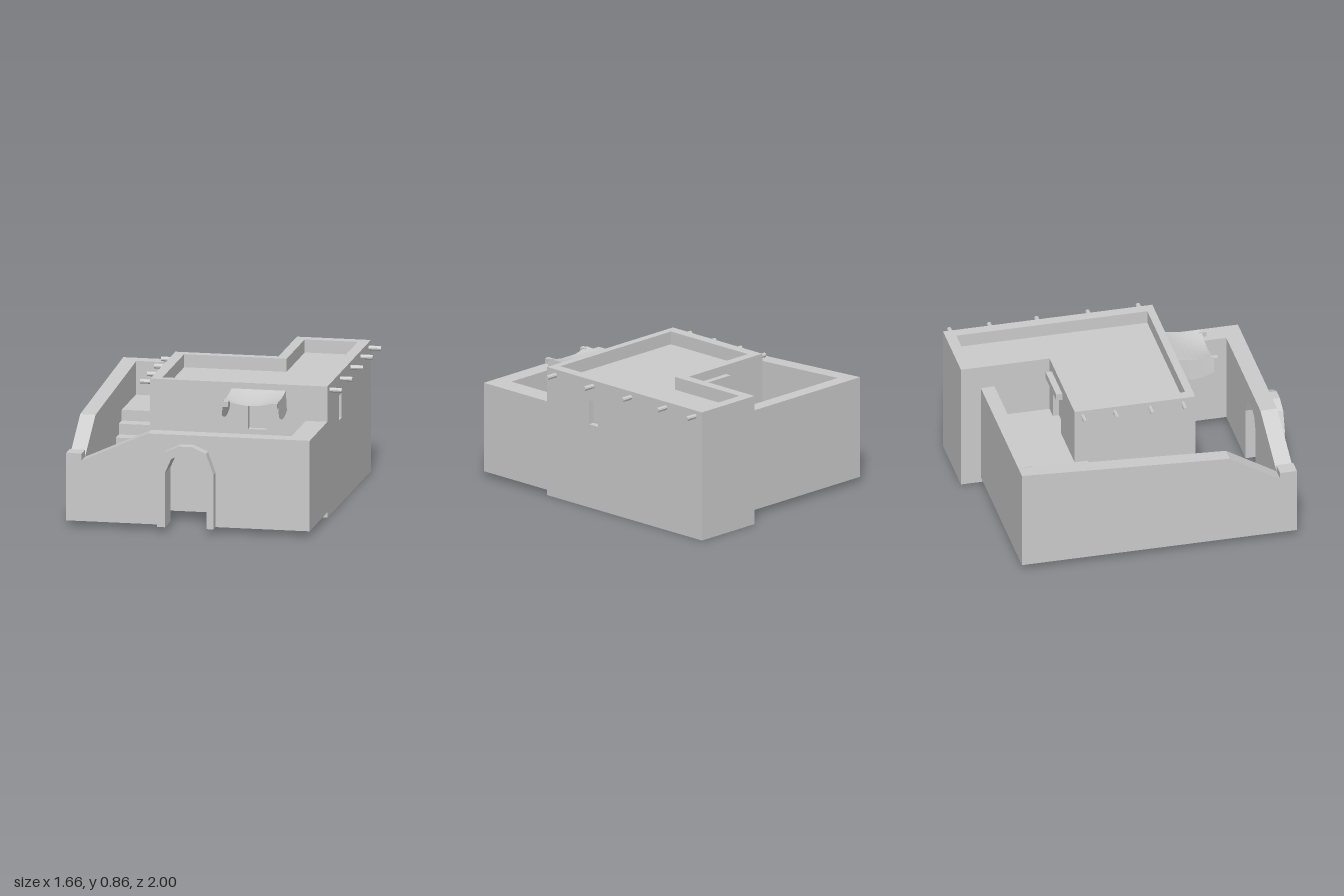
import * as THREE from 'three';

const GREY = { color: 0xcccccc };
const solid = new THREE.MeshStandardMaterial({ ...GREY, flatShading: true });
const thin = new THREE.MeshStandardMaterial({ ...GREY, flatShading: true, side: THREE.DoubleSide });
const inside = new THREE.MeshStandardMaterial({ ...GREY, side: THREE.BackSide });

const TOP = 0.855, ROOF = 0.77, BASE = 0.035, LANDING = 0.48;
const vec = (pts) => pts.map(([x, y]) => new THREE.Vector2(x, y));
const shapeOf = (pts) => new THREE.Shape(vec(pts));
const extrude = (shape, depth) => new THREE.ExtrudeGeometry(shape, { depth, bevelEnabled: false });

function add(parent, name, geometry, material = solid) {
  const mesh = new THREE.Mesh(geometry, material);
  mesh.name = name;
  parent.add(mesh);
  return mesh;
}

// box given by its minimum and maximum along each axis
function block(parent, name, [x0, x1], [y0, y1], [z0, z1]) {
  const mesh = add(parent, name, new THREE.BoxGeometry(x1 - x0, y1 - y0, z1 - z0));
  mesh.position.set((x0 + x1) / 2, (y0 + y1) / 2, (z0 + z1) / 2);
  return mesh;
}

// thin upright wall from a to b (x, z), with recessed openings [u0, u1, y0, y1]
function houseWall(parent, a, b, openings = []) {
  const dx = b[0] - a[0], dz = b[1] - a[1], length = Math.hypot(dx, dz), depth = 0.04;
  const wall = new THREE.Group();
  wall.name = 'houseWall';
  wall.position.set(a[0], 0, a[1]);
  wall.rotation.y = Math.atan2(-dz, dx);
  const shape = shapeOf([[0, 0], [length, 0], [length, ROOF], [0, ROOF]]);
  for (const [u0, u1, y0, y1] of openings) {
    shape.holes.push(new THREE.Path(vec([[u0, y0], [u0, y1], [u1, y1], [u1, y0]])));
    const recess = add(wall, 'recess', new THREE.BoxGeometry(u1 - u0, y1 - y0, depth), inside);
    recess.position.set((u0 + u1) / 2, (y0 + y1) / 2, -depth / 2);
  }
  add(wall, 'wallFace', new THREE.ShapeGeometry(shape), thin);
  parent.add(wall);
}

// grid surface from a function of (i, j)
function sheet(nu, nv, point) {
  const pos = [], index = [];
  for (let j = 0; j <= nv; j++) for (let i = 0; i <= nu; i++) pos.push(...point(i, j));
  for (let j = 0; j < nv; j++) for (let i = 0; i < nu; i++) {
    const a = j * (nu + 1) + i, b = a + 1, c = a + nu + 1, d = c + 1;
    index.push(a, c, b, b, c, d);
  }
  const g = new THREE.BufferGeometry();
  g.setAttribute('position', new THREE.Float32BufferAttribute(pos, 3));
  g.setIndex(index);
  g.computeVertexNormals();
  return g;
}

function buildHouse() {
  const house = new THREE.Group();
  house.name = 'house';
  const outer = [[-0.4, 0.37], [0.75, 0.37], [0.75, -1], [0.27, -1], [0.27, -0.42], [-0.4, -0.42]];
  const inner = [[-0.33, 0.32], [0.68, 0.32], [0.68, -0.93], [0.335, -0.93], [0.335, -0.36], [-0.33, -0.36]];
  const flip = (pts) => pts.map(([x, z]) => [x, -z]);

  // walls; openings are front window, side window and back door
  const openings = {
    0: [[0.635, 0.755, 0.555, 0.715]],
    1: [[0.37, 0.45, 0.555, 0.715]],
    4: [[0.09, 0.31, LANDING, 0.75]],
  };
  outer.forEach((p, i) => houseWall(house, p, outer[(i + 1) % outer.length], openings[i]));

  // flat roof with raised parapet
  const ring = shapeOf(flip(outer));
  ring.holes.push(new THREE.Path(vec(flip(inner))));
  add(house, 'parapet', extrude(ring, TOP - ROOF).rotateX(-Math.PI / 2).translate(0, ROOF, 0));
  add(house, 'roof', new THREE.ShapeGeometry(shapeOf(flip(outer))).rotateX(-Math.PI / 2).translate(0, ROOF, 0), thin);
  block(house, 'doorLintel', [-0.07, 0.21], [0.75, 0.795], [-0.46, -0.42]);

  // projecting roof poles
  const poles = [[-0.44, [-0.365, -0.155, 0.075, 0.29]], [0.79, [-0.94, -0.68, -0.37, -0.035, 0.295]]];
  for (const [x, zs] of poles) for (const z of zs) {
    const pole = add(house, 'roofPole', new THREE.CylinderGeometry(0.015, 0.015, 0.08, 10));
    pole.rotation.z = Math.PI / 2;
    pole.position.set(x, 0.817, z);
  }
  return house;
}

function buildYard() {
  const yard = new THREE.Group();
  yard.name = 'yard';
  const archOuter = [[-0.225, BASE], [-0.225, 0.39], [-0.175, 0.525], [-0.085, 0.565], [0, 0.565], [0.09, 0.525], [0.14, 0.39], [0.14, BASE]];
  const archInner = [[-0.175, BASE], [-0.175, 0.39], [-0.135, 0.48], [-0.08, 0.51], [0, 0.51], [0.055, 0.48], [0.095, 0.39], [0.095, BASE]];

  // front wall with gateway and sloping shoulder
  const front = shapeOf([[-0.83, BASE], ...archInner, [0.75, BASE], [0.75, 0.625], [-0.3, 0.625], [-0.73, 0.43], [-0.83, 0.43]]);
  add(yard, 'frontWall', extrude(front, 0.11).translate(0, 0, 0.82));
  add(yard, 'archSurround', extrude(shapeOf([...archOuter, ...archInner.slice().reverse()]), 0.07).translate(0, 0, 0.93));
  block(yard, 'cornerCap', [-0.83, -0.73], [0.43, 0.475], [0.82, 0.93]);

  // side and back walls
  const side = shapeOf([[-0.87, BASE], [0.82, BASE], [0.82, 0.43], [0.49, 0.63], [-0.87, 0.7]]);
  add(yard, 'slopedSideWall', extrude(side, 0.1).rotateY(-Math.PI / 2).translate(-0.73, 0, 0));
  block(yard, 'backWall', [-0.73, 0.27], [BASE, 0.7], [-0.87, -0.78]);
  block(yard, 'shortSideWall', [0.61, 0.75], [BASE, 0.625], [0.37, 0.93]);

  // folded stair flight and landing
  const steps = 6, z0 = 0.225, run = 0.56 / steps, rise = 0.07, first = LANDING - steps * rise;
  const profile = [[z0, 0]];
  for (let i = 0; i < steps; i++) {
    profile.push([z0 - run * i, first + rise * i], [z0 - run * (i + 1), first + rise * i]);
  }
  profile.push([z0 - 0.56, LANDING]);
  profile[0][1] = BASE;
  add(yard, 'stairs', sheet(1, profile.length - 1, (i, j) => [i ? -0.41 : -0.73, profile[j][1], profile[j][0]]), thin);
  const landing = shapeOf([[-0.73, 0.335], [-0.4, 0.335], [-0.4, 0.42], [0.27, 0.42], [0.27, 0.78], [-0.73, 0.78]]);
  add(yard, 'landing', new THREE.ShapeGeometry(landing).rotateX(-Math.PI / 2).translate(0, LANDING, 0), thin);
  return yard;
}

function buildAwning() {
  const awning = new THREE.Group();
  awning.name = 'awning';
  // sagging cloth with a flap hanging at each side
  const nu = 12, nv = 6;
  const cloth = sheet(nu, nv, (i, j) => {
    const t = j / nv, z = 0.37 + 0.25 * t;
    const edge = 0.815 - 0.06 * t + 0.04 * t * t;
    if (i === 0 || i === nu) {
      return [i ? 0.487 : 0.115, 0.685 - 0.03 * Math.sin(Math.PI * t) + 0.01 * t, z];
    }
    const u = (i - 1) / (nu - 2);
    return [0.128 + 0.352 * u, edge - 0.033 * t * Math.sin(Math.PI * u), z];
  });
  add(awning, 'cloth', cloth, thin);
  for (const x of [0.145, 0.465]) block(awning, 'awningPole', [x - 0.016, x + 0.016], [0.757, 0.79], [0.6, 0.65]);
  return awning;
}

export function createModel() {
  const model = new THREE.Group();
  model.name = 'courtyardHouse';
  model.add(buildHouse(), buildYard(), buildAwning());
  return model;
}
